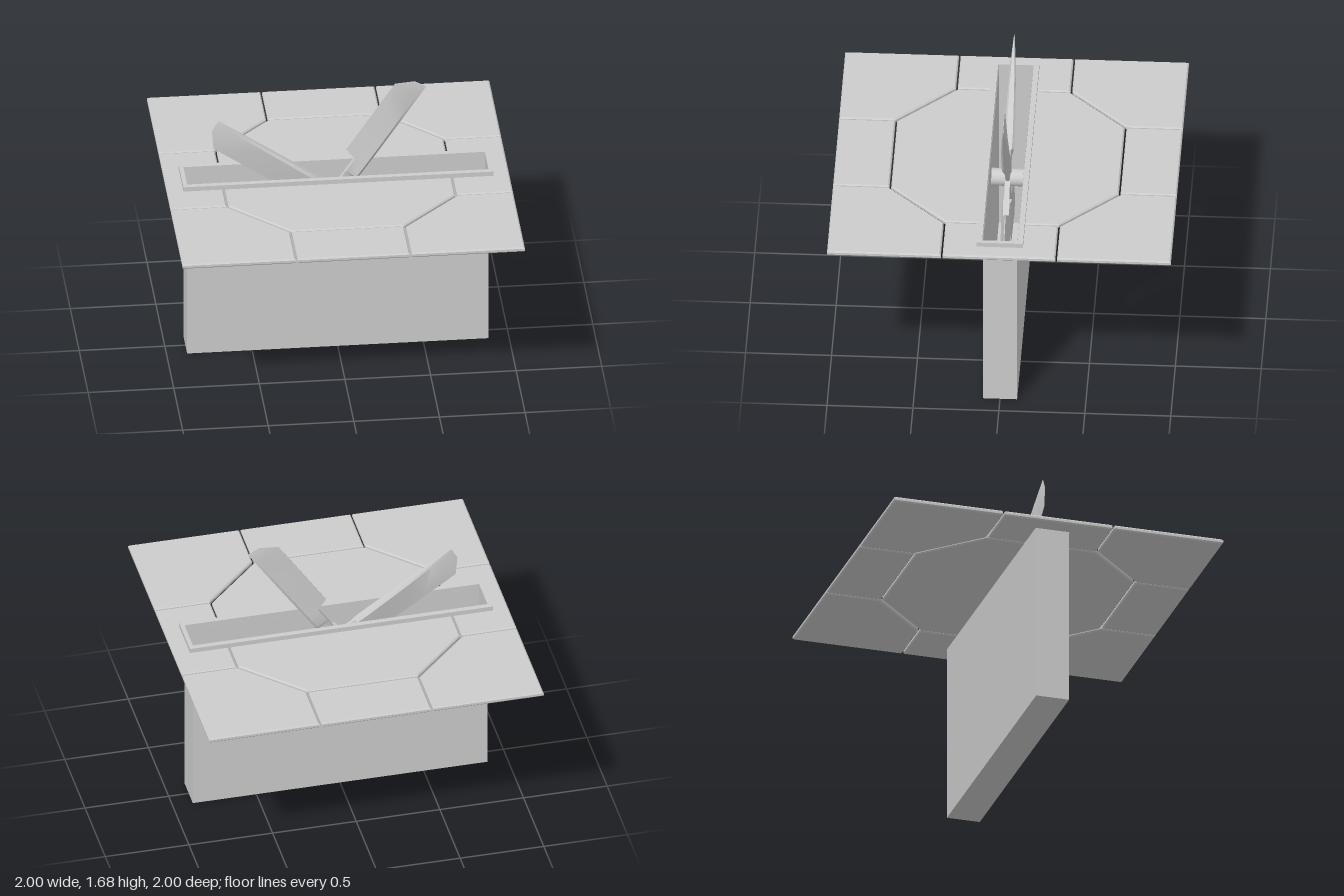
import * as THREE from 'three';
import { toCreasedNormals } from 'three/addons/utils/BufferGeometryUtils.js';

const material = new THREE.MeshStandardMaterial({ color: 0xcccccc });
const openMaterial = new THREE.MeshStandardMaterial({ color: 0xcccccc, side: THREE.DoubleSide });

function addMesh(parent, name, geometry, mat = material) {
  const mesh = new THREE.Mesh(geometry, mat);
  mesh.name = name;
  parent.add(mesh);
  return mesh;
}

// Bevelled floor tile from an outline in x, z; sx and sz mirror it
function tileGeometry(points, sx, sz) {
  const shape = new THREE.Shape(points.map(([x, z]) => new THREE.Vector2(x * sx, -z * sz)));
  const bevel = 0.008;
  return new THREE.ExtrudeGeometry(shape, {
    depth: 0.03 - 2 * bevel, bevelEnabled: true, bevelSize: bevel,
    bevelThickness: bevel, bevelOffset: -bevel, bevelSegments: 1,
  }).rotateX(-Math.PI / 2).translate(0, 1.07 + bevel, 0);
}

// Rectangular ring around the slot
function rimGeometry() {
  const rect = (path, w, d) => path.moveTo(-w, -d).lineTo(w, -d).lineTo(w, d).lineTo(-w, d).closePath();
  const shape = rect(new THREE.Shape(), 0.905, 0.135);
  shape.holes.push(rect(new THREE.Path(), 0.88, 0.103));
  return new THREE.ExtrudeGeometry(shape, { depth: 0.03, bevelEnabled: false })
    .rotateX(-Math.PI / 2).translate(0, 1.098, 0);
}

// Blade lofted along +x: thick back at low y, sharp edge at high y
function bladeGeometry() {
  // distance, back, edge, half thickness, edge half thickness
  const stations = [
    [0.0, -0.04, 0.044, 0.015, 0.015],
    [0.15, -0.04, 0.044, 0.015, 0.015],
    [0.165, -0.04, 0.044, 0.028, 0.02],
    [0.256, -0.04, 0.044, 0.03, 0.016],
    [0.276, -0.04, 0.119, 0.029, 0.002],
    [0.4, -0.04, 0.121, 0.027, 0.002],
    [0.55, -0.04, 0.123, 0.022, 0.002],
    [0.7, -0.04, 0.125, 0.015, 0.001],
    [0.784, -0.04, 0.125, 0.009, 0.001],
    [0.858, -0.04, 0.036, 0.003, 0.001],
    [0.864, -0.04, -0.02, 0.001, 0.001],
  ];
  const positions = [], index = [], n = 6;
  for (const [u, low, high, t, e] of stations) {
    const mid = low + Math.min(0.015, (high - low) / 2);
    const section = [[low, 0.6 * t], [low, -0.6 * t], [mid, -t], [high, -e], [high, e], [mid, t]];
    for (const [v, z] of section) positions.push(u, v, z);
  }
  for (let s = 0; s < stations.length - 1; s++) {
    for (let i = 0; i < n; i++) {
      const a = s * n + i, b = s * n + (i + 1) % n;
      index.push(a, b, a + n, b, b + n, a + n);
    }
  }
  // End caps
  const last = (stations.length - 1) * n;
  for (let i = 1; i < n - 1; i++) {
    index.push(0, i + 1, i, last, last + i, last + i + 1);
  }
  const g = new THREE.BufferGeometry();
  g.setAttribute('position', new THREE.Float32BufferAttribute(positions, 3));
  g.setIndex(index);
  return toCreasedNormals(g, 0.5);
}

export function createModel() {
  const model = new THREE.Group();
  model.name = 'bladeTrap';

  // Hollow pit box with its top face left out
  const pit = new THREE.BoxGeometry(1.76, 1.1, 0.2).translate(0, 0.55, 0);
  pit.setIndex([...pit.index.array].filter((_, i) => i < 12 || i >= 18));
  pit.clearGroups();
  addMesh(model, 'pitBox', pit, openMaterial);
  addMesh(model, 'slotRim', rimGeometry());

  // Floor tiles
  const floor = new THREE.Group();
  floor.name = 'floorTiles';
  model.add(floor);
  const corner = [[0.338, 1], [1, 1], [1, 0.338], [0.674, 0.338], [0.338, 0.674]];
  const centre = [[-0.662, 0.1], [0.662, 0.1], [0.662, 0.33], [0.33, 0.662], [-0.33, 0.662], [-0.662, 0.33]];
  const middle = [[-0.328, 0.672], [0.328, 0.672], [0.328, 1], [-0.328, 1]];
  const side = [[0.672, 0.328], [1, 0.328], [1, -0.328], [0.672, -0.328],
    [0.672, -0.1], [0.88, -0.1], [0.88, 0.1], [0.672, 0.1]];
  for (const s of [1, -1]) {
    addMesh(floor, 'centreTileHalf', tileGeometry(centre, 1, s));
    addMesh(floor, 'middleTile', tileGeometry(middle, 1, s));
    addMesh(floor, 'sideTile', tileGeometry(side, s, 1));
    for (const t of [1, -1]) addMesh(floor, 'cornerTile', tileGeometry(corner, s, t));
  }

  // Spinning wheel: axle and four blades at right angles
  const wheel = new THREE.Group();
  wheel.name = 'bladeWheel';
  wheel.position.y = 0.955;
  model.add(wheel);
  addMesh(wheel, 'axle', new THREE.CylinderGeometry(0.052, 0.052, 0.19, 24).rotateX(Math.PI / 2));
  const blade = bladeGeometry();
  for (let i = 0; i < 4; i++) {
    addMesh(wheel, 'blade', blade).rotation.z = THREE.MathUtils.degToRad(55.2) + i * Math.PI / 2;
  }
  return model;
}
